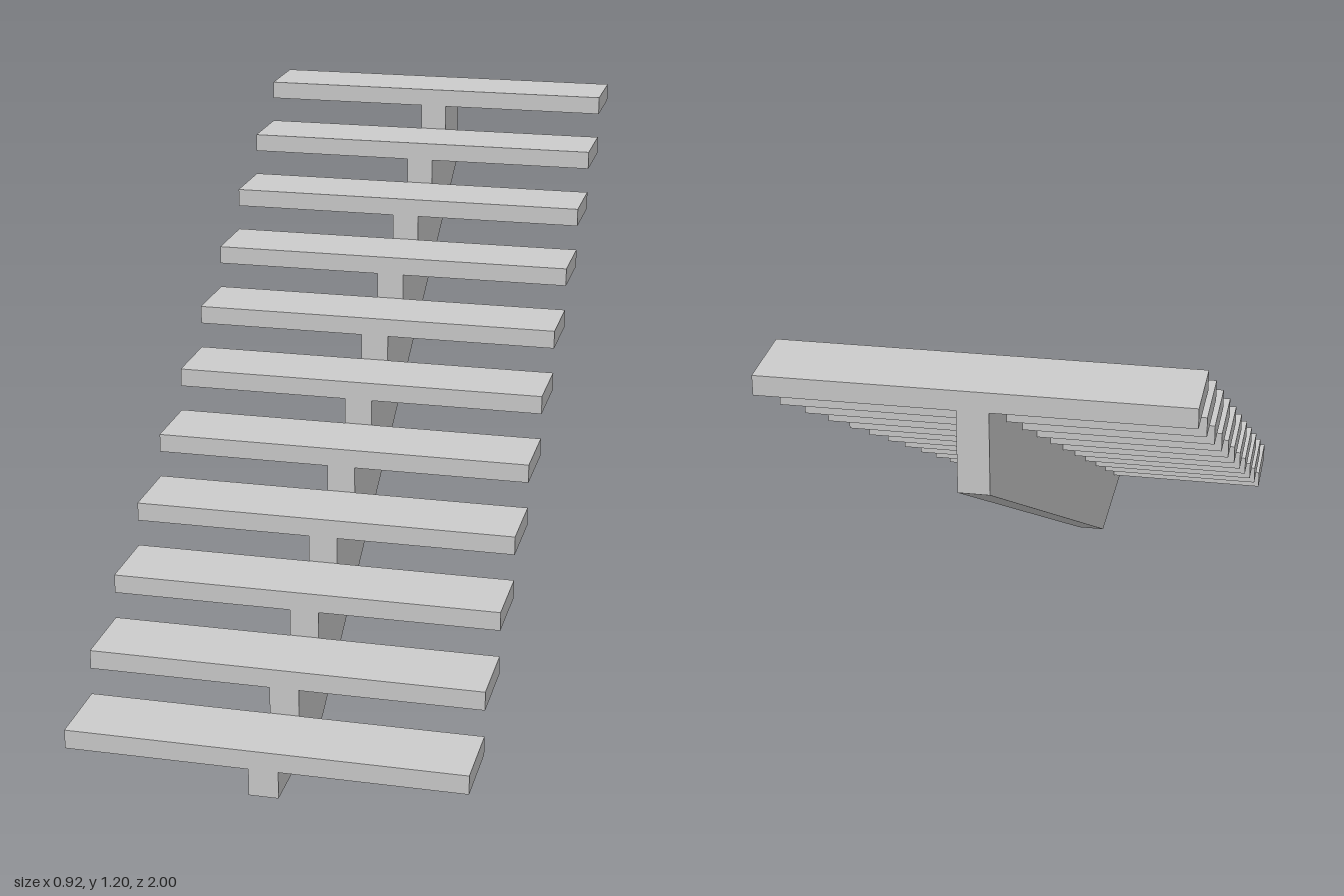
import * as THREE from 'three';

const STEPS = 11;
const RUN = 2 / STEPS;
const RISE = 1.2 / STEPS;
const TREAD_WIDTH = 0.916;
const TREAD_THICKNESS = 0.045;
const STRINGER_WIDTH = 0.068;

export function createModel() {
  const group = new THREE.Group();
  group.name = 'staircase';
  const material = new THREE.MeshStandardMaterial({ color: 0xcccccc, flatShading: true });

  // Treads, climbing from the front to the back
  const treadGeometry = new THREE.BoxGeometry(TREAD_WIDTH, TREAD_THICKNESS, RUN);
  for (let i = 0; i < STEPS; i++) {
    const tread = new THREE.Mesh(treadGeometry, material);
    tread.name = `tread${i + 1}`;
    tread.position.set(0, (i + 1) * RISE - TREAD_THICKNESS / 2, 1 - (i + 0.5) * RUN);
    group.add(tread);
  }

  // Central sawtooth stringer: side profile with shape x = model z
  const profile = new THREE.Shape();
  profile.moveTo(0.605, 0);
  profile.lineTo(1, 0);
  for (let i = 0; i < STEPS; i++) {
    const y = (i + 1) * RISE - TREAD_THICKNESS;
    profile.lineTo(1 - i * RUN, y);
    profile.lineTo(1 - (i + 1) * RUN, y);
  }
  profile.lineTo(-1, 0.967);
  profile.closePath();

  const stringerGeometry = new THREE.ExtrudeGeometry(profile, { depth: STRINGER_WIDTH, bevelEnabled: false });
  stringerGeometry.translate(0, 0, -STRINGER_WIDTH / 2);
  stringerGeometry.rotateY(-Math.PI / 2);
  const stringer = new THREE.Mesh(stringerGeometry, material);
  stringer.name = 'centralStringer';
  group.add(stringer);

  return group;
}
